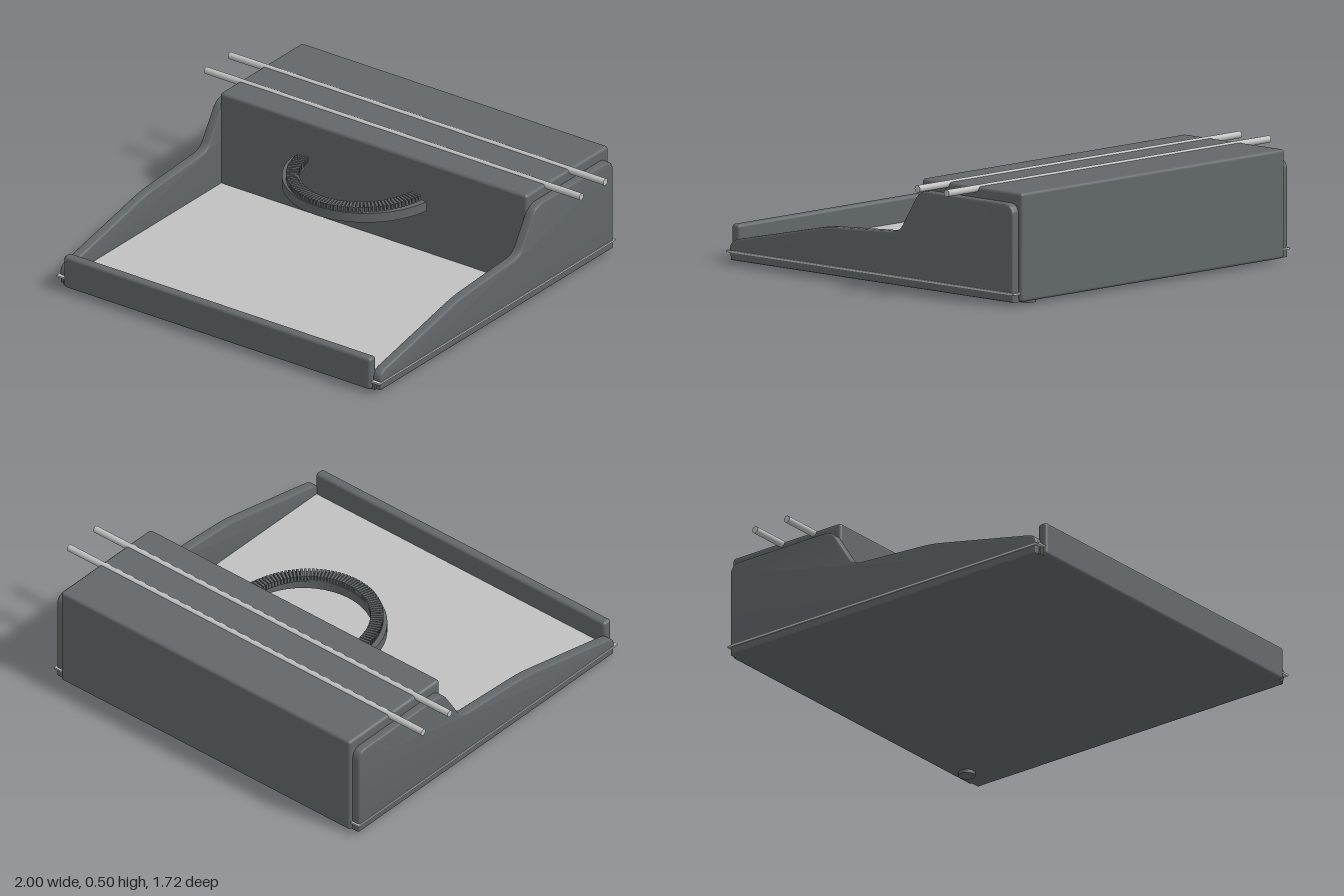
import * as THREE from 'three';
import { toCreasedNormals, mergeGeometries } from 'three/addons/utils/BufferGeometryUtils.js';
import { RoundedBoxGeometry } from 'three/addons/geometries/RoundedBoxGeometry.js';

export function createModel() {
  const model = new THREE.Group();
  const darkGrey = new THREE.MeshStandardMaterial({ color: 0x626769 });
  const lightGrey = new THREE.MeshStandardMaterial({ color: 0xc0c0c0 });
  darkGrey.name = 'darkGrey';
  lightGrey.name = 'lightGrey';

  const add = (name, geometry, material, x = 0, y = 0, z = 0) => {
    const mesh = new THREE.Mesh(geometry, material);
    mesh.name = name;
    mesh.position.set(x, y, z);
    model.add(mesh);
    return mesh;
  };
  // Rounded block given by its limits
  const block = (name, x, y0, y1, z0, z1, r) =>
    add(name, new RoundedBoxGeometry(2 * x, y1 - y0, z1 - z0, 3, r), darkGrey, 0, (y0 + y1) / 2, (z0 + z1) / 2);

  // Tray: rear housing, front lip and base
  block('rearHousing', 0.817, 0.015, 0.488, -0.858, -0.267, 0.014);
  block('frontLip', 0.817, 0.015, 0.165, 0.812, 0.858, 0.014);
  add('base', new THREE.BoxGeometry(1.66, 0.034, 1.68), darkGrey, 0, 0.032, 0);

  // Thin floor sheet showing as a fine line along the sides
  add('floorSheet', new THREE.BoxGeometry(1.718, 0.008, 1.7), lightGrey, 0, 0.053, 0);

  // Side panels: stepped profile, drawn as z across and y up
  const bevel = 0.008;
  const profile = new THREE.Shape();
  profile.moveTo(0.82, 0.023);
  profile.lineTo(0.825, 0.06);
  profile.quadraticCurveTo(0.825, 0.095, 0.78, 0.103);
  profile.lineTo(0.3, 0.206);
  profile.quadraticCurveTo(0.25, 0.216, 0.2, 0.219);
  profile.lineTo(-0.13, 0.24);
  profile.quadraticCurveTo(-0.172, 0.243, -0.196, 0.28);
  profile.lineTo(-0.268, 0.395);
  profile.quadraticCurveTo(-0.29, 0.433, -0.33, 0.433);
  profile.lineTo(-0.79, 0.433);
  profile.quadraticCurveTo(-0.832, 0.433, -0.832, 0.39);
  profile.lineTo(-0.832, 0.023);
  profile.closePath();
  const panel = new THREE.ExtrudeGeometry(profile, {
    depth: 0.046 - 2 * bevel, bevelThickness: bevel, bevelSize: bevel, bevelSegments: 3, curveSegments: 8,
  });
  panel.translate(0, 0, -(0.046 - 2 * bevel) / 2);
  panel.rotateY(-Math.PI / 2);
  const panelGeometry = toCreasedNormals(panel, 0.6);
  add('leftSidePanel', panelGeometry, darkGrey, 0.832, 0, 0);
  add('rightSidePanel', panelGeometry, darkGrey, -0.832, 0, 0);

  // Floating half ring, open towards the rear
  const start = 0.13, end = Math.PI - 0.13, ringZ = -0.215;
  const arc = new THREE.Shape();
  arc.absarc(0, 0, 0.36, start, end, false);
  arc.absarc(0, 0, 0.298, end, start, true);
  arc.closePath();
  const ring = new THREE.ExtrudeGeometry(arc, { depth: 0.044, bevelEnabled: false, curveSegments: 48 });
  ring.rotateX(Math.PI / 2); // shape y becomes +z, depth goes down
  add('halfRing', toCreasedNormals(ring, 0.5), darkGrey, 0, 0.362, ringZ);

  // Row of fine teeth on the half ring
  const teeth = [];
  const count = 58;
  for (let i = 0; i < count; i++) {
    const a = start + (end - start) * (i + 0.5) / count;
    const tooth = new THREE.BoxGeometry(0.056, 0.026, 0.011);
    tooth.rotateY(-a);
    tooth.translate(0.305 * Math.cos(a), 0.372, 0.33 * Math.sin(a) + ringZ);
    teeth.push(tooth);
  }
  add('ringTeeth', mergeGeometries(teeth), darkGrey);

  // Two long rods across the top of the housing
  for (const [name, z] of [['frontRod', -0.415], ['rearRod', -0.588]]) {
    add(name, new THREE.CylinderGeometry(0.0155, 0.0155, 2, 20), lightGrey, 0, 0.48, z).rotation.z = Math.PI / 2;
  }

  // Single small foot under the rear corner
  add('foot', new THREE.CylinderGeometry(0.037, 0.037, 0.02, 24), darkGrey, 0.71, 0.01, -0.79);

  return model;
}
